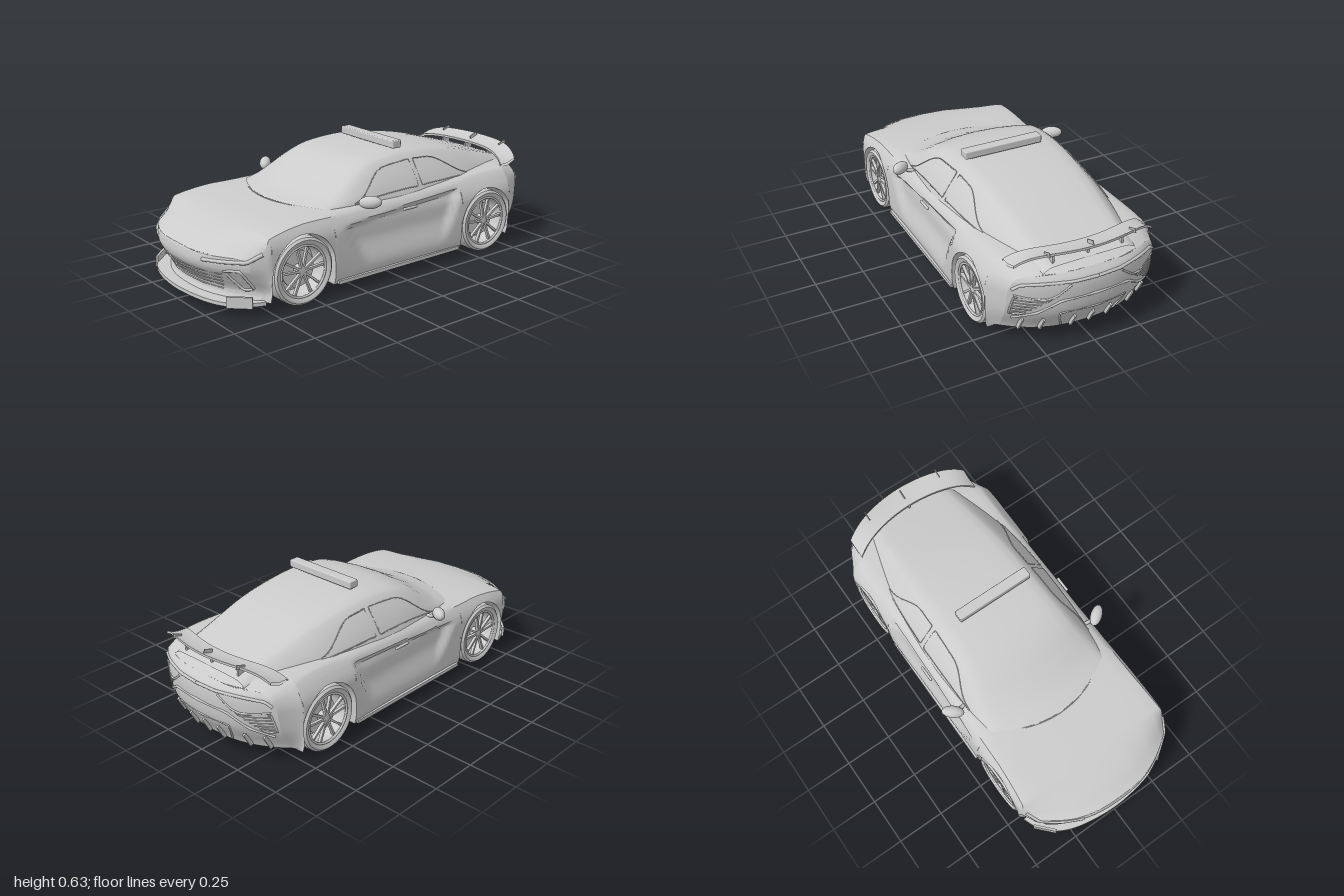
import * as THREE from 'three';
import { toCreasedNormals } from 'three/addons/utils/BufferGeometryUtils.js';
import { RoundedBoxGeometry } from 'three/addons/geometries/RoundedBoxGeometry.js';

const grey = new THREE.MeshStandardMaterial({ color: 0xcccccc });
const thin = new THREE.MeshStandardMaterial({ color: 0xcccccc, side: THREE.DoubleSide });
const V = (x, y, z) => new THREE.Vector3(x, y, z);
const smooth = THREE.MathUtils.smoothstep;

// smooth curve through [x, y] knots, clamped at both ends
function curve(k) {
  const slope = i => {
    const a = k[Math.max(i - 1, 0)], b = k[Math.min(i + 1, k.length - 1)];
    return (b[1] - a[1]) / (b[0] - a[0]);
  };
  return x => {
    if (x <= k[0][0]) return k[0][1];
    let i = 0;
    while (i < k.length - 1 && x > k[i + 1][0]) i++;
    if (i === k.length - 1) return k[i][1];
    const h = k[i + 1][0] - k[i][0], t = (x - k[i][0]) / h, t2 = t * t, t3 = t2 * t;
    return (2 * t3 - 3 * t2 + 1) * k[i][1] + (t3 - 2 * t2 + t) * h * slope(i)
      + (3 * t2 - 2 * t3) * k[i + 1][1] + (t3 - t2) * h * slope(i + 1);
  };
}

// surface from a rule fn(i, j) -> Vector3
function grid(nu, nv, fn, crease = 0.6) {
  const pos = [], idx = [];
  for (let i = 0; i <= nu; i++) for (let j = 0; j <= nv; j++) pos.push(...fn(i, j).toArray());
  for (let i = 0; i < nu; i++) for (let j = 0; j < nv; j++) {
    const a = i * (nv + 1) + j, b = a + nv + 1;
    idx.push(a, b, b + 1, a, b + 1, a + 1);
  }
  const g = new THREE.BufferGeometry();
  g.setAttribute('position', new THREE.Float32BufferAttribute(pos, 3));
  g.setIndex(idx);
  g.computeVertexNormals();
  return toCreasedNormals(g, crease);
}

// body curves along the length (nose at -x)
const ARCH = 0.178, WY = 0.167, WHEELS = [-0.578, 0.595];
const floor = curve([[-1, .06], [-.8, .055], [.4, .055], [.75, .058], [1, .078]]);
const width = curve([[-1, .40], [-.9, .425], [-.8, .44], [-.6, .445], [-.3, .438], [.1, .438], [.5, .445], [.75, .443], [.9, .415], [1, .385]]);
const shoulder = curve([[-1, .26], [-.9, .308], [-.75, .36], [-.58, .385], [-.4, .385], [0, .385], [.4, .40], [.6, .41], [.8, .40], [1, .36]]);
const deck = curve([[-1, .285], [-.95, .312], [-.9, .333], [-.8, .363], [-.7, .382], [-.6, .392], [-.45, .402], [0, .42], [.5, .43], [.85, .43], [.93, .425], [1, .40]]);
const tuck = curve([[.05, .012], [.1, 0], [.3, 0], [.34, .01], [.38, .032], [.41, .055]]);
const rakeFront = curve([[.05, .05], [.1, .07], [.17, .03], [.22, 0], [.27, 0], [.3, .012]]);
const rakeRear = curve([[.05, .08], [.1, .06], [.18, .015], [.25, 0], [.36, 0], [.4, .03], [.45, .06]]);

// bows the nose and tail in plan and rakes them in profile
function warp(u, y, z) {
  const s = Math.max(0, (Math.abs(u) - 0.76) / 0.24);
  const rake = u < 0 ? rakeFront(y) : rakeRear(y);
  return V(u - Math.sign(u) * s * (0.16 * (Math.abs(z) / 0.41) ** 2.4 + rake), y, z);
}
// side wall, with a scoop that is deepest under its upper edge
function sideZ(u, y) {
  const top = 0.335 + 0.05 * (u + 0.35) / 0.77, front = -0.23 - (y - 0.12) * 0.6, rear = 0.32 + (y - 0.12) * 0.42;
  const scoop = smooth(u, front, front + 0.06) * (1 - smooth(u, rear - 0.05, rear))
    * smooth(y, 0.1, 0.25) * (1 - smooth(y, top - 0.035, top));
  return width(u) - tuck(y) - 0.03 * scoop;
}
function archY(u) {
  for (const c of WHEELS) {
    const d = Math.abs(u - c);
    if (d <= ARCH + 1e-6) return WY + Math.sqrt(Math.max(0, ARCH * ARCH - d * d));
  }
  return floor(u);
}
function halfSection(u) {
  const b = archY(u), sh = shoulder(u), d = deck(u), p = [[0, floor(u)], [0.3, floor(u)], [0.3, b]];
  for (let i = 0; i <= 26; i++) { const y = b + (sh - b) * i / 26; p.push([sideZ(u, y), y]); }
  const w = sideZ(u, sh);
  for (const [f, h] of [[.95, .4], [.85, .65], [.6, .85], [.3, .97], [0, 1]]) p.push([w * f, sh + (d - sh) * h]);
  return p;
}
const mirrored = h => [...h, ...h.slice(0, -1).reverse().map(([z, y]) => [-z, y])];

// cabin
const BELT = 0.385;
const roof = curve([[-.5, .403], [-.4, .431], [-.3, .478], [-.2, .53], [-.1, .565], [0, .58], [.15, .588], [.3, .578], [.5, .545], [.7, .49], [.85, .445], [.93, .42]]);
const cabinW = curve([[-.5, .345], [-.35, .37], [-.1, .388], [.2, .39], [.5, .365], [.75, .30], [.93, .24]]);
const inset = curve([[-.5, .96], [-.2, .78], [0, .72], [.3, .70], [.6, .72], [.93, .85]]);
const cabinWarp = (x, y, z) => V(x + 0.13 * (z / 0.36) ** 2 * Math.max(0, Math.min(1, (0.1 - x) / 0.6)), y, z);
function cabinSide(x, t) {
  const w = cabinW(x);
  return [w + (w * inset(x) - w) * t + 0.012 * Math.sin(Math.PI * t), BELT + (roof(x) - BELT) * 0.88 * t];
}
function cabinHalf(x) {
  const p = [0, .2, .4, .6, .8, 1].map(t => cabinSide(x, t)), wt = cabinW(x) * inset(x), h = roof(x) - BELT;
  for (const [f, k] of [[.92, .945], [.75, .975], [.4, .995], [0, 1]]) p.push([wt * f, BELT + h * k]);
  return p;
}

export function createModel() {
  const car = new THREE.Group();
  const add = (name, geo, mat = grey, parent = car) => {
    const m = new THREE.Mesh(geo, mat);
    m.name = name;
    parent.add(m);
    return m;
  };
  const box = (name, w, h, d, x, y, z) => {
    const m = add(name, new THREE.BoxGeometry(w, h, d));
    m.position.set(x, y, z);
    return m;
  };
  const trim = (name, pts, r, closed = false) =>
    add(name, new THREE.TubeGeometry(new THREE.CatmullRomCurve3(pts, closed, 'catmullrom', 0.1), pts.length * 5, r, 6, closed));

  // body shell with wheel arches
  const us = [];
  for (let i = 0; i <= 80; i++) us.push(-1 + i / 40);
  for (const c of WHEELS) {
    for (let i = 0; i <= 28; i++) us.push(c + ARCH * Math.cos(Math.PI * i / 28));
    us.push(c - ARCH - 0.002, c + ARCH + 0.002);
  }
  us.sort((a, b) => a - b);
  const rings = us.map(u => mirrored(halfSection(u)));
  add('bodyShell', grid(us.length - 1, rings[0].length - 1, (i, j) => warp(us[i], rings[i][j][1], rings[i][j][0])), thin);

  // nose and tail faces
  for (const end of [-1, 1]) {
    const rows = halfSection(end).slice(1);
    add(end < 0 ? 'noseFace' : 'tailFace', grid(rows.length - 1, 24, (i, j) =>
      warp(end, rows[i][1], rows[i][0] * end * (j / 12 - 1))));
  }

  // cabin shell and windscreen cowl line
  const cab = Array.from({ length: 61 }, (_, i) => mirrored(cabinHalf(-0.5 + 1.43 * i / 60)));
  add('cabin', grid(60, cab[0].length - 1, (i, j) => cabinWarp(-0.5 + 1.43 * i / 60, cab[i][j][1], cab[i][j][0])), thin);
  const cowl = Array.from({ length: 13 }, (_, i) => i / 6 - 1);
  trim('windscreenCowl', cowl.map(t => cabinWarp(-0.5, 0.4 - 0.006 * t * t, 0.345 * t)), 0.003);

  const onCap = (end, z, y, off = 0.002) => { const p = warp(end, y, z); p.x += end * off; return p; };
  for (const s of [1, -1]) {
    // side windows with seals
    for (const [x0, x1, name] of [[-0.33, 0.17, 'frontWindow'], [0.2, 0.54, 'rearWindow']]) {
      const pane = (a, b) => {
        const x = x0 + (x1 - x0) * a;
        const top = 0.24 + 0.64 * smooth(x, -0.36, -0.02) * (1 - 0.95 * smooth(x, 0.3, 0.56));
        const [z, y] = cabinSide(x, 0.22 + (top - 0.22) * b);
        return cabinWarp(x, y + 0.001, s * (z + 0.003));
      };
      add(name, grid(16, 6, (i, j) => pane(i / 16, j / 6)), thin);
      const edge = [];
      for (let i = 0; i <= 10; i++) edge.push(pane(i / 10, 0));
      for (let i = 10; i >= 0; i--) edge.push(pane(i / 10, 1));
      trim(name + 'Seal', edge, 0.0025, true);
    }
    // door handle, skirt, mirror
    add('doorHandle', new RoundedBoxGeometry(0.09, 0.014, 0.014, 2, 0.006)).position.set(0.07, 0.342, s * 0.43);
    box('sideSkirt', 0.78, 0.018, 0.05, 0.01, 0.064, s * 0.421);
    const mirror = add('mirror', new THREE.SphereGeometry(1, 20, 14));
    mirror.scale.set(0.03, 0.031, 0.057);
    mirror.position.set(-0.195, 0.425, s * 0.444);
    mirror.rotation.set(-s * 0.15, s * 0.65, 0);
    trim('mirrorStalk', [V(-0.19, 0.395, s * 0.375), V(-0.195, 0.4, s * 0.4), V(-0.2, 0.413, s * 0.425)], 0.01);

    // headlight, corner intake and splitter blade
    trim('headlight', [warp(-1, .25, s * .2), warp(-1, .255, s * .3), warp(-1, .26, s * .39), warp(-.9, .295, s * .424)], 0.01);
    trim('cornerIntake', [[.3, .21], [.365, .215], [.375, .12], [.33, .11]].map(([z, y]) => onCap(-1, s * z, y)), 0.007, true);
    box('splitterBlade', 0.12, 0.055, 0.012, -0.885, 0.07, s * 0.365).rotation.y = -s * 0.75;

    // tail lamp, rear mesh vent
    trim('tailLamp', [[0, .36], [.12, .36], [.25, .36], [.34, .35], [.37, .325]].map(([z, y]) => onCap(1, s * z, y)), 0.008);
    trim('tailCrease', [[.13, .345], [.2, .29], [.25, .275], [.365, .295]].map(([z, y]) => onCap(1, s * z, y)), 0.005);
    trim('ventFrame', [[.22, .275], [.36, .285], [.375, .19], [.33, .19]].map(([z, y]) => onCap(1, s * z, y)), 0.005, true);
    for (let i = 1; i < 6; i++) {
      const f = i / 6, a = [.22 + .11 * f, .275 - .085 * f], b = [.36 + .015 * f, .285 - .095 * f];
      trim('ventBar', [0, .5, 1].map(t => onCap(1, s * (a[0] + (b[0] - a[0]) * t), a[1] + (b[1] - a[1]) * t)), 0.003);
    }
  }

  // lower front grille and rear bumper lines
  for (let i = 0; i < 5; i++) {
    const y = 0.1 + i * 0.022, w = 0.24 + i * 0.01;
    trim('grilleBar', [-1, -.5, 0, .5, 1].map(t => onCap(-1, t * w, y)), 0.004);
  }
  trim('bumperLine', [[-.36, .16], [-.27, .2], [-.17, .265], [0, .272], [.17, .265], [.27, .2], [.36, .16]].map(([z, y]) => onCap(1, z, y)), 0.007);
  trim('diffuserFrame', [[-.14, .09], [-.17, .19], [0, .19], [.17, .19], [.14, .09]].map(([z, y]) => onCap(1, z, y)), 0.005);
  for (const z of [-.32, -.235, -.095, 0, .095, .235, .32])
    box('diffuserFin', 0.05, 0.085, 0.01, onCap(1, z, 0.125).x - 0.012, 0.125, z).rotation.z = -0.5;

  // front splitter
  const plan = new THREE.Shape();
  plan.moveTo(-0.78, -0.425);
  plan.splineThru([[-.85, -.395], [-.92, -.335], [-.975, -.21], [-1, 0], [-.975, .21], [-.92, .335], [-.85, .395], [-.78, .425]].map(p => new THREE.Vector2(...p)));
  const splitter = add('frontSplitter', new THREE.ExtrudeGeometry(plan, { depth: 0.018, bevelEnabled: false, curveSegments: 32 }));
  splitter.rotation.x = Math.PI / 2;
  splitter.position.y = 0.066;

  // rear wing with struts and fins
  const foil = [[0, .012], [.05, .014], [.105, .034], [.105, .022], [.05, 0], [0, 0], [0, .012]];
  add('rearWing', grid(40, 6, (i, j) => {
    const t = i / 20 - 1;
    return V(0.86 - 0.085 * t * t + foil[j][0], 0.463 - 0.052 * t ** 6 + foil[j][1], 0.36 * t);
  }), thin);
  for (const z of [-0.18, 0, 0.18]) box('wingStrut', 0.05, 0.06, 0.01, 0.885, 0.444, z);
  for (const z of [-0.22, 0, 0.22]) box('wingFin', 0.05, 0.022, 0.004, 0.925, 0.49, z).rotation.z = 0.35;

  // roof light bar
  add('lightBar', new RoundedBoxGeometry(0.055, 0.04, 0.42, 2, 0.006)).position.set(0.14, 0.614, 0.035);

  // underfloor panel and ribs
  box('underTray', 0.72, 0.012, 0.42, 0, 0.056, 0);
  for (const x of [-0.25, 0, 0.25]) box('underRib', 0.02, 0.012, 0.4, x, 0.052, 0);

  // wheels
  const tyre = [[.12, -.05], [.128, -.06], [.152, -.066], [.163, -.056], [.166, -.03], [.166, .03], [.163, .056], [.152, .066], [.134, .062], [.128, .055], [.12, .03], [.12, -.05]];
  const tyreGeo = toCreasedNormals(new THREE.LatheGeometry(tyre.map(p => new THREE.Vector2(...p)), 48), 0.7).rotateX(Math.PI / 2);
  for (const cx of WHEELS) for (const s of [1, -1]) {
    const wheel = new THREE.Group();
    wheel.name = cx < 0 ? 'frontWheel' : 'rearWheel';
    wheel.position.set(cx, 0.166, s * 0.377);
    if (s < 0) wheel.rotation.y = Math.PI;
    car.add(wheel);
    add('tyre', tyreGeo, thin, wheel);
    add('rimLip', new THREE.TorusGeometry(0.125, 0.006, 8, 48), grey, wheel).position.z = 0.055;
    add('brakeDisc', new THREE.CylinderGeometry(0.09, 0.09, 0.012, 32).rotateX(Math.PI / 2), grey, wheel).position.z = 0.005;
    add('wheelBack', new THREE.CylinderGeometry(0.122, 0.122, 0.01, 32).rotateX(Math.PI / 2), grey, wheel).position.z = -0.045;
    add('hub', new THREE.CylinderGeometry(0.022, 0.028, 0.05, 20).rotateX(Math.PI / 2), grey, wheel).position.z = 0.025;
    for (let i = 0; i < 10; i++) {
      const spoke = new THREE.BoxGeometry(0.108, 0.011, 0.016).translate(0.07, 0, 0.044);
      spoke.rotateZ(Math.floor(i / 2) * Math.PI * 0.4 + (i % 2 ? 0.24 : -0.24) + Math.PI / 2);
      add('spoke', spoke, grey, wheel);
    }
  }
  return car;
}
